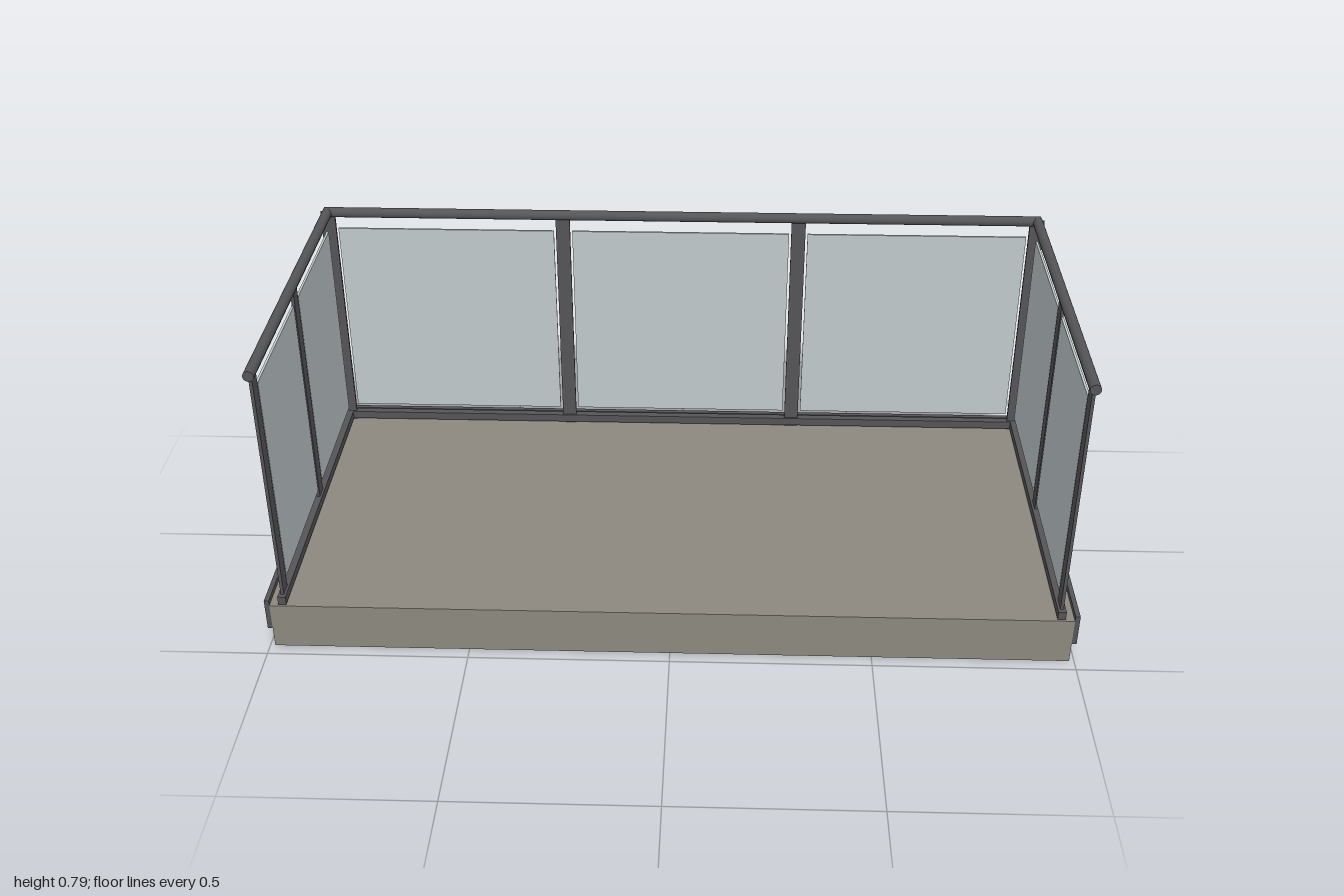
import * as THREE from 'three';

export function createModel() {
  const model = new THREE.Group();
  model.name = 'balcony';
  const mat = (name, color) => {
    const m = new THREE.MeshStandardMaterial({ color });
    m.name = name;
    return m;
  };
  const concrete = mat('concrete', 0x8c887f);
  const metal = mat('dark metal', 0x555558);
  const glass = mat('pale glass', 0xc0c9cb);

  const add = (name, geometry, material, x, y, z) => {
    const mesh = new THREE.Mesh(geometry, material);
    mesh.name = name;
    mesh.position.set(x, y, z);
    model.add(mesh);
    return mesh;
  };
  // Box given by its minimum and maximum corners
  const box = (name, material, [x0, y0, z0], [x1, y1, z1]) =>
    add(name, new THREE.BoxGeometry(x1 - x0, y1 - y0, z1 - z0), material,
      (x0 + x1) / 2, (y0 + y1) / 2, (z0 + z1) / 2);

  const front = 0.467, railX = 0.955, railZ = -0.42;
  const slabTop = 0.124, handY = 0.778, handR = 0.0135;
  const postHalf = 0.019, thin = 0.004, gap = 0.025;
  const glassY = [0.174, 0.73], glassHalf = 0.003;

  // Floor slab with a metal fascia round three edges
  box('floorSlab', concrete, [-0.988, 0, -0.454], [0.988, slabTop, front]);
  box('backFascia', metal, [-1, 0.054, -0.467], [1, 0.138, -0.454]);
  for (const s of [-1, 1]) {
    const xs = [s * 0.988, s].sort((a, b) => a - b);
    box('sideFascia', metal, [xs[0], 0.054, -0.454], [xs[1], 0.138, front]);
  }

  // Back railing: flat posts, panels between them, bottom rail and handrail
  const backPosts = [-railX, -railX / 3, railX / 3, railX];
  backPosts.forEach((x, i) => {
    box('backPost', metal, [x - postHalf, slabTop, railZ - thin], [x + postHalf, handY, railZ + thin]);
    if (i < 3) {
      box('backGlass', glass, [x + gap, glassY[0], railZ - glassHalf],
        [backPosts[i + 1] - gap, glassY[1], railZ + glassHalf]);
    }
  });
  box('backBottomRail', metal, [-railX - 0.01, 0.129, railZ - 0.01], [railX + 0.01, 0.151, railZ + 0.01]);
  const backRail = new THREE.CylinderGeometry(handR, handR, 2 * (railX + 0.008), 20);
  add('backHandrail', backRail.rotateZ(Math.PI / 2), metal, 0, handY, railZ + 0.003);

  // Side railings, which share the corner posts with the back
  const sidePosts = [0.436, 0.008, railZ];
  for (const s of [-1, 1]) {
    const x = s * railX;
    sidePosts.forEach((z, i) => {
      if (i === 2) return;
      box('sidePost', metal, [x - thin, slabTop, z - postHalf], [x + thin, handY, z + postHalf]);
      box('sideGlass', glass, [x - glassHalf, glassY[0], sidePosts[i + 1] + gap],
        [x + glassHalf, glassY[1], z - gap]);
    });
    box('sideBottomRail', metal, [x - 0.01, 0.129, railZ + 0.01], [x + 0.01, 0.151, front]);
    const sideRail = new THREE.CylinderGeometry(handR, handR, front - railZ, 20);
    add('sideHandrail', sideRail.rotateX(Math.PI / 2), metal, x, handY, (front + railZ) / 2);
  }
  return model;
}
